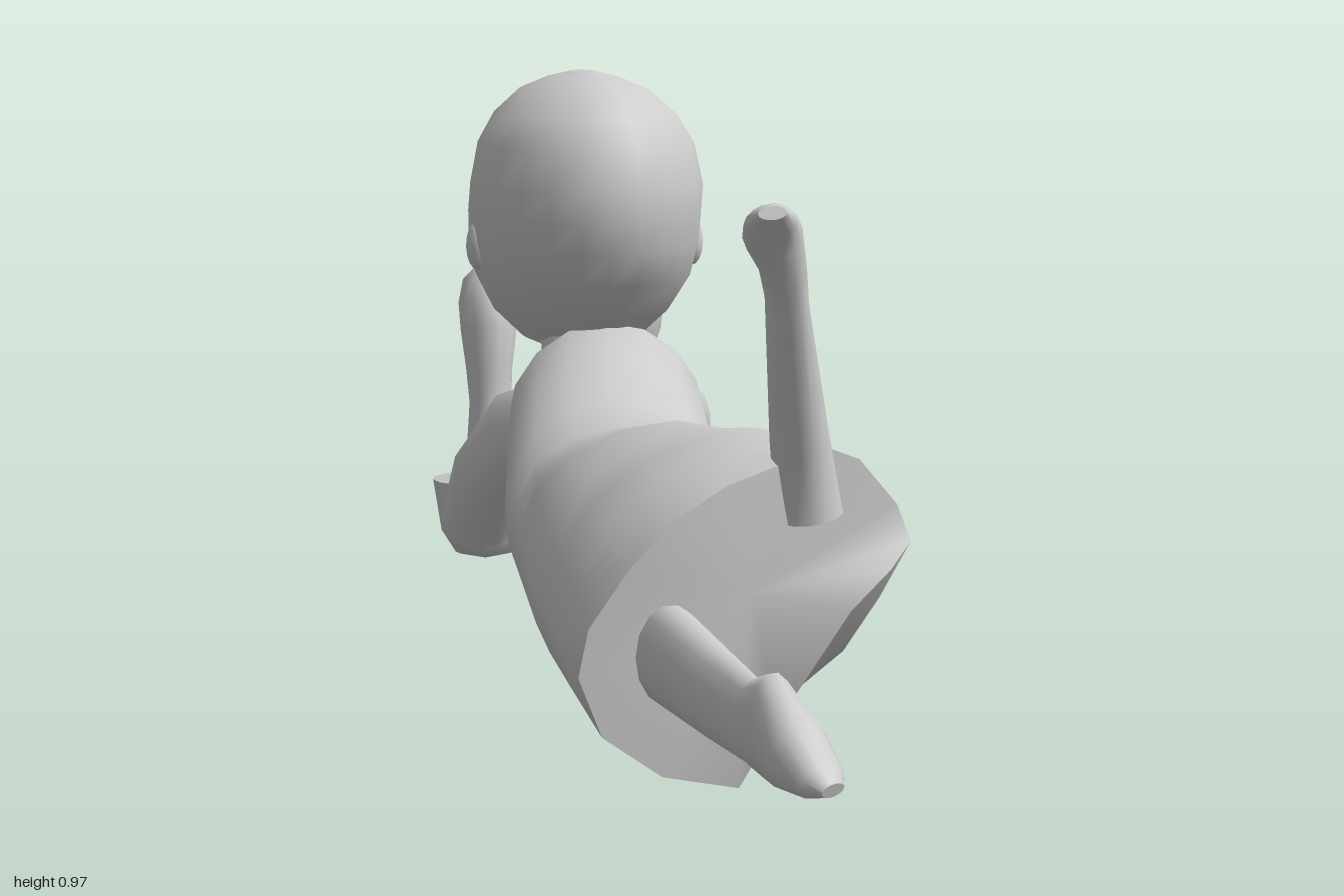
import * as THREE from 'three';

const V = (x, y, z) => new THREE.Vector3(x, y, z);

// Closed surface through rings of points, with separately shaded end caps
function skin(rings) {
  const n = rings[0].length, pos = [], idx = [];
  const put = (p) => pos.push(p.x, p.y, p.z) / 3 - 1;
  rings.forEach((r) => r.forEach(put));
  for (let i = 0; i < rings.length - 1; i++) {
    for (let j = 0; j < n; j++) {
      const a = i * n + j, b = i * n + (j + 1) % n;
      idx.push(a, b, b + n, a, b + n, a + n);
    }
  }
  [[rings[0], true], [rings[rings.length - 1], false]].forEach(([ring, flip]) => {
    const mid = ring.reduce((s, p) => s.add(p), V(0, 0, 0)).divideScalar(n);
    const c = put(mid), first = c + 1;
    ring.forEach(put);
    for (let j = 0; j < n; j++) {
      const a = first + j, b = first + (j + 1) % n;
      if (flip) idx.push(c, b, a); else idx.push(c, a, b);
    }
  });
  const g = new THREE.BufferGeometry();
  g.setAttribute('position', new THREE.Float32BufferAttribute(pos, 3));
  g.setIndex(idx);
  g.computeVertexNormals();
  return g;
}

// Elliptical ring around centre c, in the plane of u and v
function ellipse(c, u, v, ru, rv, n) {
  return Array.from({ length: n }, (_, j) => {
    const a = (j / n) * Math.PI * 2;
    return c.clone().addScaledVector(u, ru * Math.cos(a)).addScaledVector(v, rv * Math.sin(a));
  });
}

// Limb through stations [x, y, z, half width, half depth]
function limb(stations, n = 14) {
  const pts = stations.map((s) => V(s[0], s[1], s[2]));
  return skin(stations.map((s, i) => {
    const t = pts[Math.min(i + 1, pts.length - 1)].clone().sub(pts[Math.max(i - 1, 0)]).normalize();
    const u = V(1, 0, 0).addScaledVector(t, -t.x).normalize();
    return ellipse(pts[i], u, t.clone().cross(u), s[3], s[4] ?? s[3], n);
  }));
}

export function createModel() {
  const model = new THREE.Group();
  model.name = 'lyingChild';
  const clay = new THREE.MeshStandardMaterial({ color: 0xcccccc, side: THREE.DoubleSide });
  clay.name = 'grey clay';
  const add = (name, geometry) => {
    const m = new THREE.Mesh(geometry, clay);
    m.name = name;
    model.add(m);
    return m;
  };

  // Dress: uneven hem, then tilted ellipses towards the shoulders
  const hem = [
    [0.245, 0.4, 0.38], [0.265, 0.345, 0.385], [0.22, 0.315, 0.44], [0.145, 0.27, 0.5],
    [0.05, 0.1, 0.45], [0, 0, 0.425], [-0.115, 0.025, 0.435], [-0.205, 0.09, 0.445],
    [-0.24, 0.18, 0.45], [-0.225, 0.25, 0.45], [-0.165, 0.335, 0.45], [-0.1, 0.4, 0.445],
    [-0.02, 0.445, 0.43], [0.08, 0.475, 0.41], [0.14, 0.488, 0.4], [0.185, 0.47, 0.39],
  ].map((p) => V(...p));
  // [z, centre x, centre y, half width, half height, tilt]
  const sections = [
    [0.34, 0, 0.277, 0.268, 0.19, 0.52], [0.2, -0.005, 0.284, 0.262, 0.182, 0.48],
    [0.1, -0.01, 0.288, 0.252, 0.175, 0.42],
    [-0.1, -0.02, 0.285, 0.222, 0.167, 0.27], [-0.22, -0.02, 0.275, 0.21, 0.152, 0.17],
    [-0.31, -0.02, 0.273, 0.2, 0.142, 0.1], [-0.4, -0.02, 0.295, 0.185, 0.145, 0.05],
    [-0.5, -0.01, 0.345, 0.175, 0.165, 0], [-0.58, 0, 0.385, 0.17, 0.165, 0],
    [-0.66, 0, 0.4, 0.14, 0.12, 0], [-0.71, 0, 0.41, 0.06, 0.06, 0],
  ].map(([z, x, y, rx, ry, t]) => ellipse(V(x, y, z),
    V(Math.cos(t), Math.sin(t), 0), V(Math.sin(t), -Math.cos(t), 0), rx, ry, 16));
  add('dress', skin([hem, ...sections]));

  add('neck', limb([[-0.01, 0.4, -0.6, 0.09], [-0.015, 0.6, -0.72, 0.08]]));

  // Head: horizontal rings [y, back z, face z, half width]
  const head = [
    [0.485, -0.67, -0.8, 0.04], [0.51, -0.61, -0.87, 0.1], [0.56, -0.54, -0.935, 0.152],
    [0.62, -0.478, -0.963, 0.184], [0.68, -0.45, -0.967, 0.196], [0.73, -0.442, -0.955, 0.198],
    [0.78, -0.44, -0.915, 0.198], [0.85, -0.457, -0.905, 0.184], [0.9, -0.49, -0.89, 0.154],
    [0.94, -0.54, -0.86, 0.108], [0.96, -0.6, -0.8, 0.06], [0.97, -0.66, -0.74, 0.02],
  ].map(([y, back, face, rx]) => ellipse(V(-0.015, y, (back + face) / 2),
    V(1, 0, 0), V(0, 0, -1), rx, (back - face) / 2, 24));
  add('head', skin(head));

  for (const [side, s] of [['left', 1], ['right', -1]]) {
    const ear = add(side + 'Ear', new THREE.SphereGeometry(1, 12, 8));
    ear.scale.set(0.02, 0.042, 0.03);
    ear.position.set(-0.015 + s * 0.187, 0.675, -0.69);
  }

  // Sleeves end in an open cuff at the elbow, with the forearm rising out of it
  const cuffProfile = [[0.001, -0.078], [0.6, -0.065], [0.88, -0.025], [0.96, 0.02], [1.04, 0.065]]
    .map(([r, y]) => new THREE.Vector2(r, y));
  const arms = [
    {
      side: 'left', cuff: [0.112, 0.185, -0.92],
      sleeve: [[0.07, 0.4, -0.54, 0.06, 0.07], [0.13, 0.37, -0.64, 0.065, 0.08],
        [0.155, 0.3, -0.74, 0.062, 0.075], [0.122, 0.19, -0.9, 0.072, 0.068]],
      forearm: [[0.085, 0.15, -0.91, 0.044], [0.085, 0.38, -0.895, 0.037, 0.04],
        [0.095, 0.44, -0.89, 0.041, 0.052], [0.108, 0.51, -0.885, 0.05, 0.066],
        [0.112, 0.56, -0.885, 0.052, 0.062], [0.115, 0.6, -0.885, 0.038, 0.04],
        [0.115, 0.615, -0.885, 0.016, 0.02]],
    },
    {
      side: 'right', cuff: [-0.178, 0.19, -0.785],
      sleeve: [[-0.07, 0.4, -0.54, 0.06, 0.07], [-0.145, 0.36, -0.62, 0.065, 0.08],
        [-0.185, 0.28, -0.69, 0.064, 0.072], [-0.185, 0.19, -0.77, 0.072, 0.068]],
      forearm: [[-0.175, 0.15, -0.795, 0.044], [-0.16, 0.38, -0.83, 0.037, 0.04],
        [-0.16, 0.44, -0.84, 0.041, 0.052], [-0.158, 0.51, -0.855, 0.05, 0.064],
        [-0.16, 0.56, -0.865, 0.05, 0.058], [-0.165, 0.6, -0.87, 0.036, 0.04],
        [-0.165, 0.615, -0.87, 0.016, 0.02]],
    },
  ];
  for (const a of arms) {
    add(a.side + 'Sleeve', limb(a.sleeve));
    add(a.side + 'ForearmAndHand', limb(a.forearm));
    const cuff = add(a.side + 'Cuff', new THREE.LatheGeometry(cuffProfile, 16));
    cuff.scale.set(0.088, 1, 0.077);
    cuff.position.set(...a.cuff);
  }

  // Raised leg and resting leg, each widening at the heel and narrowing to the toe
  add('leftLeg', limb([
    [0.112, 0.39, 0.385, 0.05, 0.055], [0.095, 0.5, 0.395, 0.044, 0.052],
    [0.05, 0.72, 0.495, 0.03, 0.05], [0.038, 0.775, 0.515, 0.034, 0.06],
    [0.012, 0.82, 0.565, 0.042, 0.045], [-0.002, 0.84, 0.615, 0.036, 0.024],
    [-0.008, 0.855, 0.648, 0.02, 0.01],
  ]));
  add('rightLeg', limb([
    [-0.108, 0.205, 0.4, 0.053, 0.076], [-0.088, 0.2, 0.65, 0.042, 0.066],
    [-0.07, 0.195, 0.81, 0.032, 0.058], [-0.062, 0.205, 0.87, 0.038, 0.074],
    [-0.042, 0.178, 0.93, 0.046, 0.054], [-0.02, 0.155, 0.975, 0.036, 0.027],
    [-0.01, 0.147, 0.998, 0.018, 0.01],
  ]));

  return model;
}
